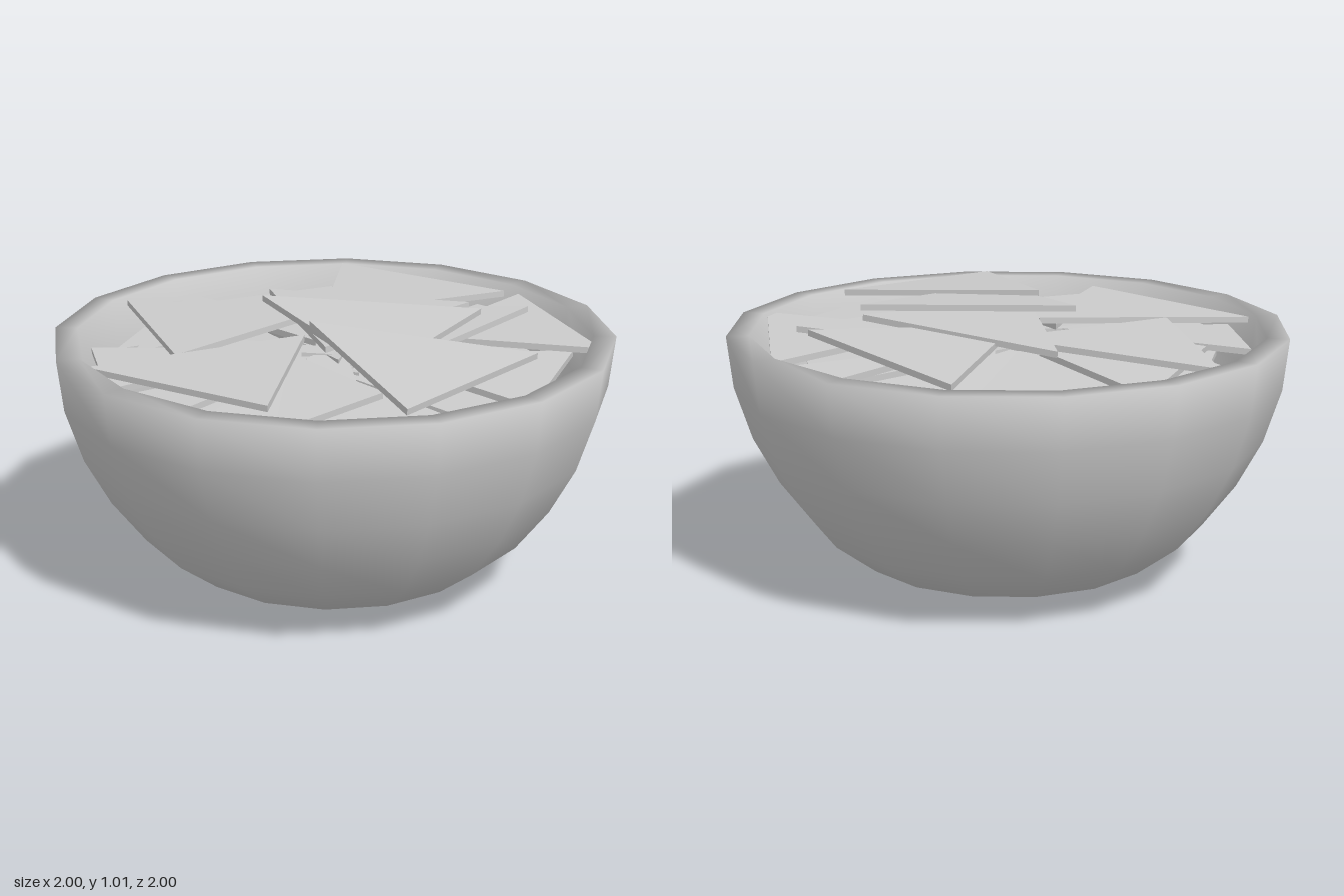
import * as THREE from 'three';

const THICK = 0.022;

// Thin triangular prism whose top face passes through three corners [x, y, z]
function chipGeometry(corners) {
  let [a, b, c] = corners.map(p => new THREE.Vector3(...p));
  const up = new THREE.Vector3().crossVectors(b.clone().sub(a), c.clone().sub(a));
  if (up.y < 0) { [b, c] = [c, b]; up.negate(); }
  const drop = up.normalize().multiplyScalar(-THICK);
  const top = [a, b, c];
  const low = top.map(p => p.clone().add(drop));
  const tris = [...top, low[0], low[2], low[1]];
  for (let i = 0; i < 3; i++) {
    const j = (i + 1) % 3;
    tris.push(top[i], low[i], low[j], top[i], low[j], top[j]);
  }
  const geo = new THREE.BufferGeometry().setFromPoints(tris);
  geo.computeVertexNormals();
  return geo;
}

export function createModel() {
  const group = new THREE.Group();
  const bowlMat = new THREE.MeshStandardMaterial({ color: 0xcccccc });
  const chipMat = new THREE.MeshStandardMaterial({ color: 0xcccccc, flatShading: true });

  // Bowl: outside from the base up to the rim, then down the inside
  const profile = [
    [0, 0], [0.2, 0.015], [0.38, 0.042], [0.555, 0.08], [0.71, 0.2], [0.83, 0.36],
    [0.92, 0.53], [0.98, 0.72], [1, 0.905],
    [0.92, 0.905], [0.9, 0.72], [0.84, 0.54], [0.76, 0.39], [0.64, 0.25], [0.5, 0.15], [0, 0.08],
  ].map(([r, y]) => new THREE.Vector2(r, y));
  const bowl = new THREE.Mesh(new THREE.LatheGeometry(profile, 16), bowlMat);
  bowl.name = 'bowl';
  group.add(bowl);

  const chips = new THREE.Group();
  chips.name = 'chips';
  group.add(chips);
  const addChip = (name, corners) => {
    const mesh = new THREE.Mesh(chipGeometry(corners), chipMat);
    mesh.name = name;
    chips.add(mesh);
  };

  // Upper chips, from the top of the heap
  const upper = [
    [[0.72, 0.94, -0.28], [0.80, 0.925, 0.41], [0.075, 1.0, 0.18]],
    [[0.31, 0.975, -0.43], [-0.25, 1.01, 0.12], [0.5, 0.94, 0.25]],
    [[0.2, 0.965, -0.48], [-0.51, 0.93, -0.13], [0.19, 0.94, 0.21]],
    [[-0.64, 0.915, -0.62], [0.15, 0.95, -0.72], [-0.12, 0.935, -0.05]],
    [[0.3, 0.93, -0.69], [0.4, 0.91, 0.02], [-0.2, 0.9, -0.27]],
    [[-0.86, 0.89, 0.28], [-0.18, 0.9, 0.57], [-0.2, 0.92, -0.15]],
    [[-0.3, 0.89, 0.86], [0.43, 0.9, 0.67], [-0.01, 0.92, 0.13]],
  ];
  upper.forEach(c => addChip('upperChip', c));

  // Middle chips showing between the upper ones
  const middle = [
    [[0.05, 0.88, -0.91], [0.73, 0.89, -0.6], [0.18, 0.89, -0.22]],
    [[0.62, 0.86, -0.58], [0.9, 0.85, -0.06], [0.2, 0.88, 0.02]],
    [[-0.88, 0.85, -0.03], [-0.28, 0.88, -0.05], [-0.43, 0.85, 0.57]],
    [[-0.64, 0.83, -0.57], [-0.84, 0.82, -0.02], [-0.1, 0.85, 0]],
    [[-0.57, 0.85, 0.65], [-0.18, 0.84, 0.86], [-0.05, 0.88, 0.2]],
    [[0.52, 0.87, 0.25], [0.52, 0.85, 0.72], [0.02, 0.88, 0.22]],
    [[-0.1, 0.82, -0.84], [0.16, 0.83, -0.84], [0.02, 0.85, -0.2]],
    [[0.12, 0.82, 0.86], [-0.15, 0.82, 0.82], [0.06, 0.86, 0.18]],
    [[-0.84, 0.81, 0.14], [-0.4, 0.83, 0], [-0.6, 0.81, 0.52]],
  ];
  middle.forEach(c => addChip('middleChip', c));

  // Lower chips filling the heap, fanned around the centre
  const lowerCount = 9;
  for (let i = 0; i < lowerCount; i++) {
    const t = (i / lowerCount) * Math.PI * 2 + 0.25;
    const y = 0.72 + 0.06 * (i % 2);
    const at = (r, turn, dy) => [r * Math.cos(t + turn), y + dy, r * Math.sin(t + turn)];
    addChip('lowerChip', [at(0.78, -0.4, 0), at(0.78, 0.4, 0.02), at(0.12, Math.PI, 0.06)]);
  }
  return group;
}
